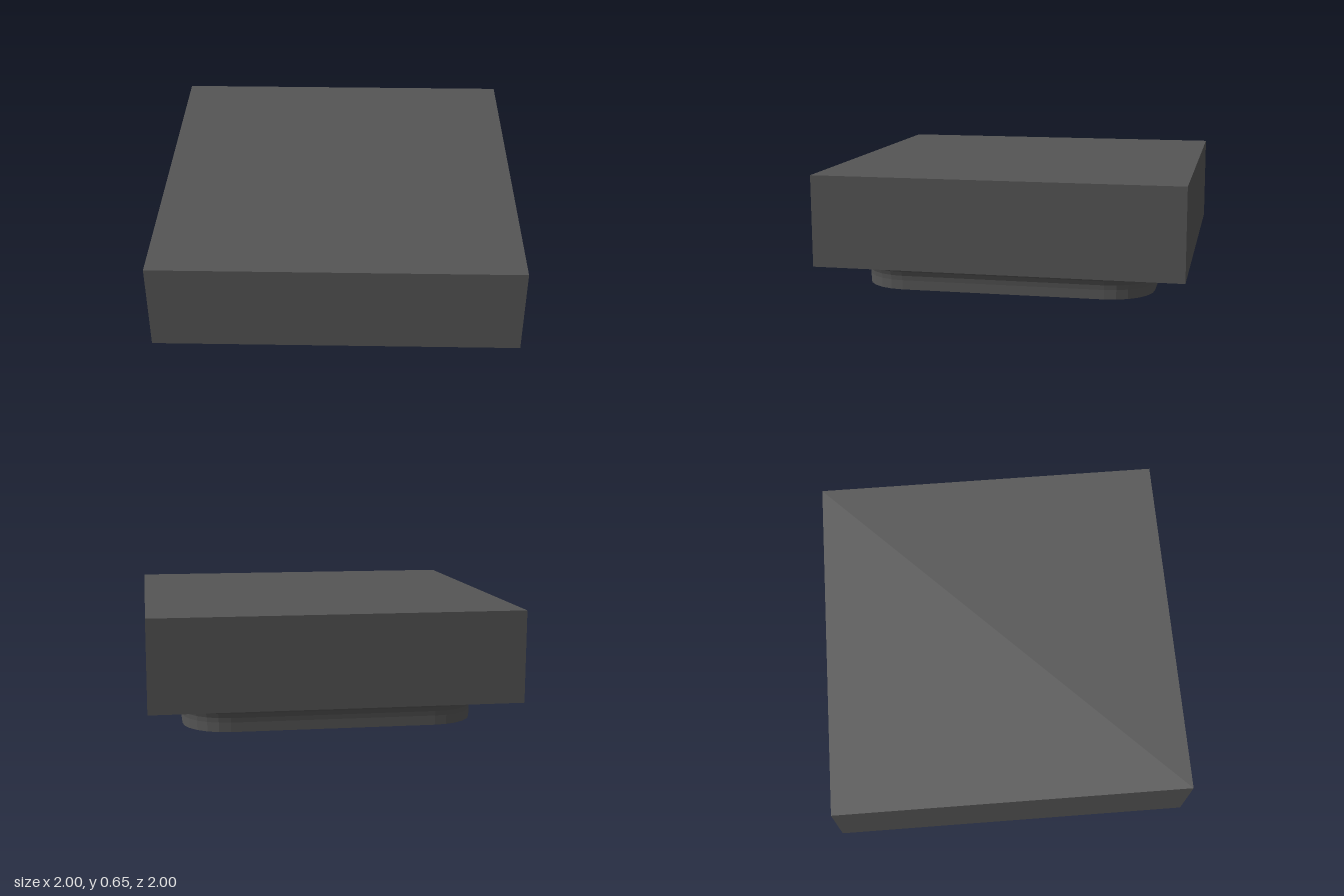
import * as THREE from 'three';

const CORE = 0.56;     // half side of the square the rounded outlines grow from
const UNDER = 0.152;   // underside of the slab
const TOP = 0.652;
const CEILING = 0.43;  // flat end of the hollow
const STEPS = 6;       // facets per rounded corner

// Rounded square outline: the core square grown outwards by d
function outline(d) {
  const points = [];
  for (let q = 0; q < 4; q++) {
    const mid = (q + 0.5) * Math.PI / 2;
    const cx = Math.sign(Math.cos(mid)) * CORE;
    const cz = Math.sign(Math.sin(mid)) * CORE;
    for (let s = 0; s <= STEPS; s++) {
      const a = (q + s / STEPS) * Math.PI / 2;
      points.push(new THREE.Vector2(cx + d * Math.cos(a), cz + d * Math.sin(a)));
    }
  }
  return points;
}

// Skin a [grow, height] profile around the rounded square, with flat facets
function sweep(profile) {
  const positions = [], index = [];
  const n = 4 * (STEPS + 1);
  profile.forEach(([d, y], i) => {
    outline(d).forEach((p, j) => {
      positions.push(p.x, y, p.y);
      if (i === profile.length - 1) return;
      const a = i * n + j, b = i * n + (j + 1) % n;
      index.push(a, a + n, b, b, a + n, b + n);
    });
  });
  const indexed = new THREE.BufferGeometry();
  indexed.setAttribute('position', new THREE.Float32BufferAttribute(positions, 3));
  indexed.setIndex(index);
  const geometry = indexed.toNonIndexed();
  geometry.computeVertexNormals();
  return geometry;
}

// Quarter arc in profile space
function arc(cd, cy, r, from, to) {
  return Array.from({ length: STEPS + 1 }, (_, i) => {
    const a = from + (to - from) * i / STEPS;
    return [cd + r * Math.cos(a), cy + r * Math.sin(a)];
  });
}

export function createModel() {
  const group = new THREE.Group();
  const material = new THREE.MeshStandardMaterial({ color: 0x555555 });
  material.name = 'dark grey';
  const add = (name, geometry, y = 0) => {
    const mesh = new THREE.Mesh(geometry, material);
    mesh.name = name;
    mesh.position.y = y;
    group.add(mesh);
  };

  // Slab: top and four sides, open below
  const slab = new THREE.BoxGeometry(2, TOP - UNDER, 2);
  const faces = Array.from(slab.index.array);
  faces.splice(18, 6);
  slab.setIndex(faces);
  slab.clearGroups();
  add('slab', slab, (TOP + UNDER) / 2);

  // Flat underside around the rim
  const under = new THREE.Shape([[-1, -1], [1, -1], [1, 1], [-1, 1]].map(p => new THREE.Vector2(...p)));
  under.holes.push(new THREE.Path(outline(0.35)));
  add('underside', new THREE.ShapeGeometry(under).rotateX(Math.PI / 2), UNDER);

  // Rim: hollow with rounded inside edges, flat lip, filleted outside
  add('rim', sweep([
    ...arc(0, CEILING - 0.19, 0.19, Math.PI / 2, 0),
    [0.19, 0], [0.25, 0],
    ...arc(0.35, UNDER - 0.1, 0.1, Math.PI, Math.PI / 2),
  ]));

  // Flat end of the hollow
  add('hollowCeiling', new THREE.PlaneGeometry(2 * CORE, 2 * CORE).rotateX(Math.PI / 2), CEILING);

  return group;
}
